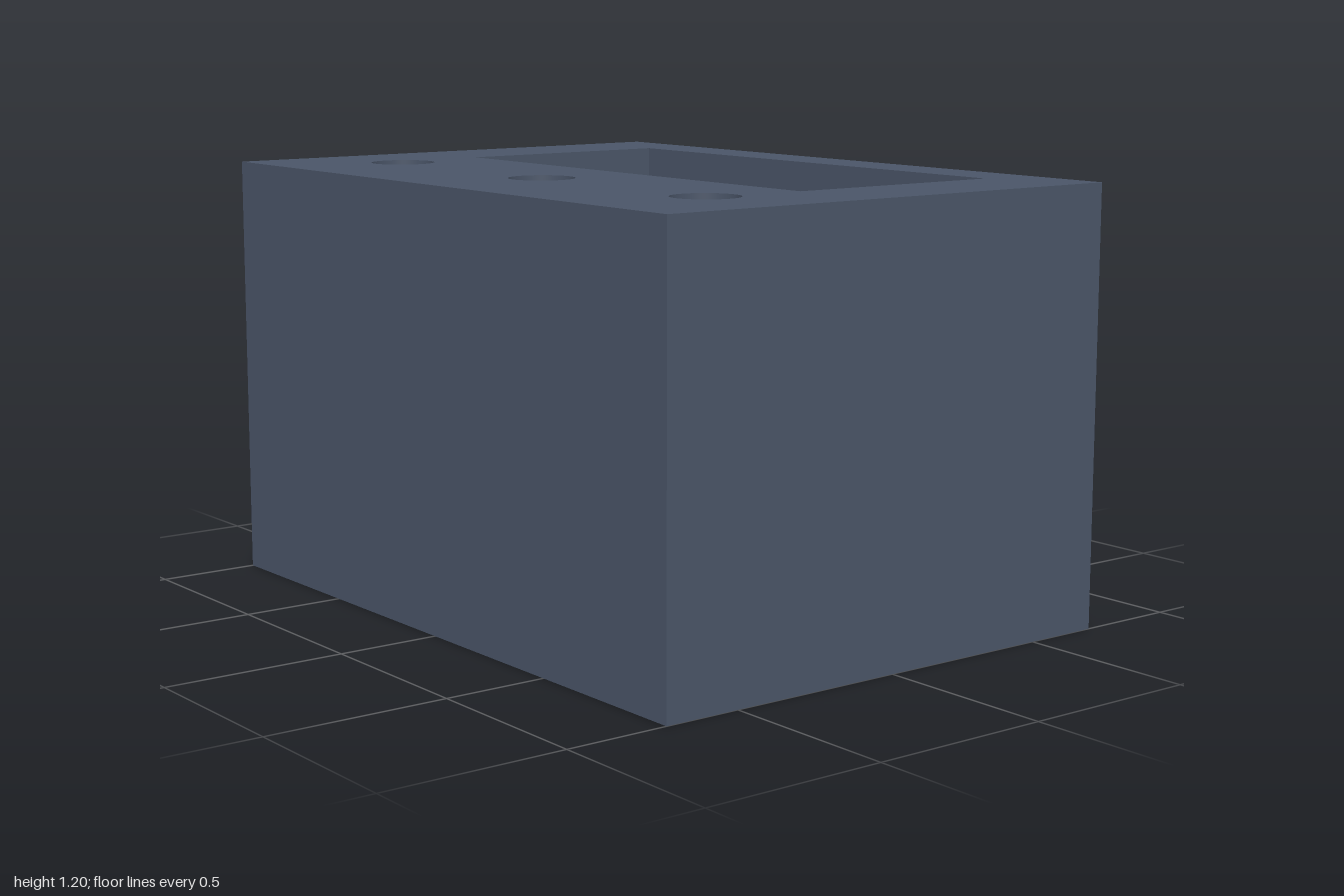
import * as THREE from 'three';

const H = 1.195, W = 2, D = 1.43;                 // block size
const POCKET = { x0: -0.735, x1: 0.73, z0: -0.56, z1: 0.085 };
const R = 0.09, DEPTH = 0.36;                     // round blind holes
const TOP_HOLES = [[-0.695, 0.36], [0, 0.36], [0.695, 0.36]];
const BOTTOM_HOLES = [[0.83, 0.1], [0.04, 0.54], [-0.82, 0.54]];

// Flat face with the pocket and round holes cut out (shape y is -z)
function faceGeometry(holes, y) {
  const rect = (P, x0, x1, z0, z1) => new P([
    new THREE.Vector2(x0, -z1), new THREE.Vector2(x1, -z1),
    new THREE.Vector2(x1, -z0), new THREE.Vector2(x0, -z0)]);
  const shape = rect(THREE.Shape, -W / 2, W / 2, -D / 2, D / 2);
  shape.holes.push(rect(THREE.Path, POCKET.x0, POCKET.x1, POCKET.z0, POCKET.z1));
  for (const [x, z] of holes) {
    shape.holes.push(new THREE.Path().absarc(x, -z, R, 0, Math.PI * 2, true));
  }
  return new THREE.ShapeGeometry(shape, 24).rotateX(-Math.PI / 2).translate(0, y, 0);
}

// The four upright sides of a box, without its top and bottom
function wallGeometry(x0, x1, z0, z1) {
  const g = new THREE.BoxGeometry(x1 - x0, H, z1 - z0);
  const index = Array.from(g.index.array);
  g.setIndex([...index.slice(0, 12), ...index.slice(24)]);
  g.clearGroups();
  return g.translate((x0 + x1) / 2, H / 2, (z0 + z1) / 2);
}

export function createModel() {
  const model = new THREE.Group();
  model.name = 'block';
  const slate = new THREE.MeshStandardMaterial({ color: 0x4a5568, side: THREE.DoubleSide });
  slate.name = 'slate';

  const add = (name, geometry, parent = model) => {
    const mesh = new THREE.Mesh(geometry, slate);
    mesh.name = name;
    parent.add(mesh);
    return mesh;
  };

  // Outer shell and rectangular through pocket
  add('outerWalls', wallGeometry(-W / 2, W / 2, -D / 2, D / 2));
  add('pocketWalls', wallGeometry(POCKET.x0, POCKET.x1, POCKET.z0, POCKET.z1));
  add('topFace', faceGeometry(TOP_HOLES, H));
  add('bottomFace', faceGeometry(BOTTOM_HOLES, 0));

  // Blind holes: a smooth bore and a flat floor
  const addHole = (name, x, z, yOpen, dir) => {
    const hole = new THREE.Group();
    hole.name = name;
    hole.position.set(x, yOpen, z);
    add('bore', new THREE.CylinderGeometry(R, R, DEPTH, 48, 1, true), hole)
      .position.y = dir * DEPTH / 2;
    add('floor', new THREE.CircleGeometry(R, 48).rotateX(dir * Math.PI / 2), hole)
      .position.y = dir * DEPTH;
    model.add(hole);
  };
  TOP_HOLES.forEach(([x, z]) => addHole('topHole', x, z, H, -1));
  BOTTOM_HOLES.forEach(([x, z]) => addHole('bottomHole', x, z, 0, 1));

  return model;
}
